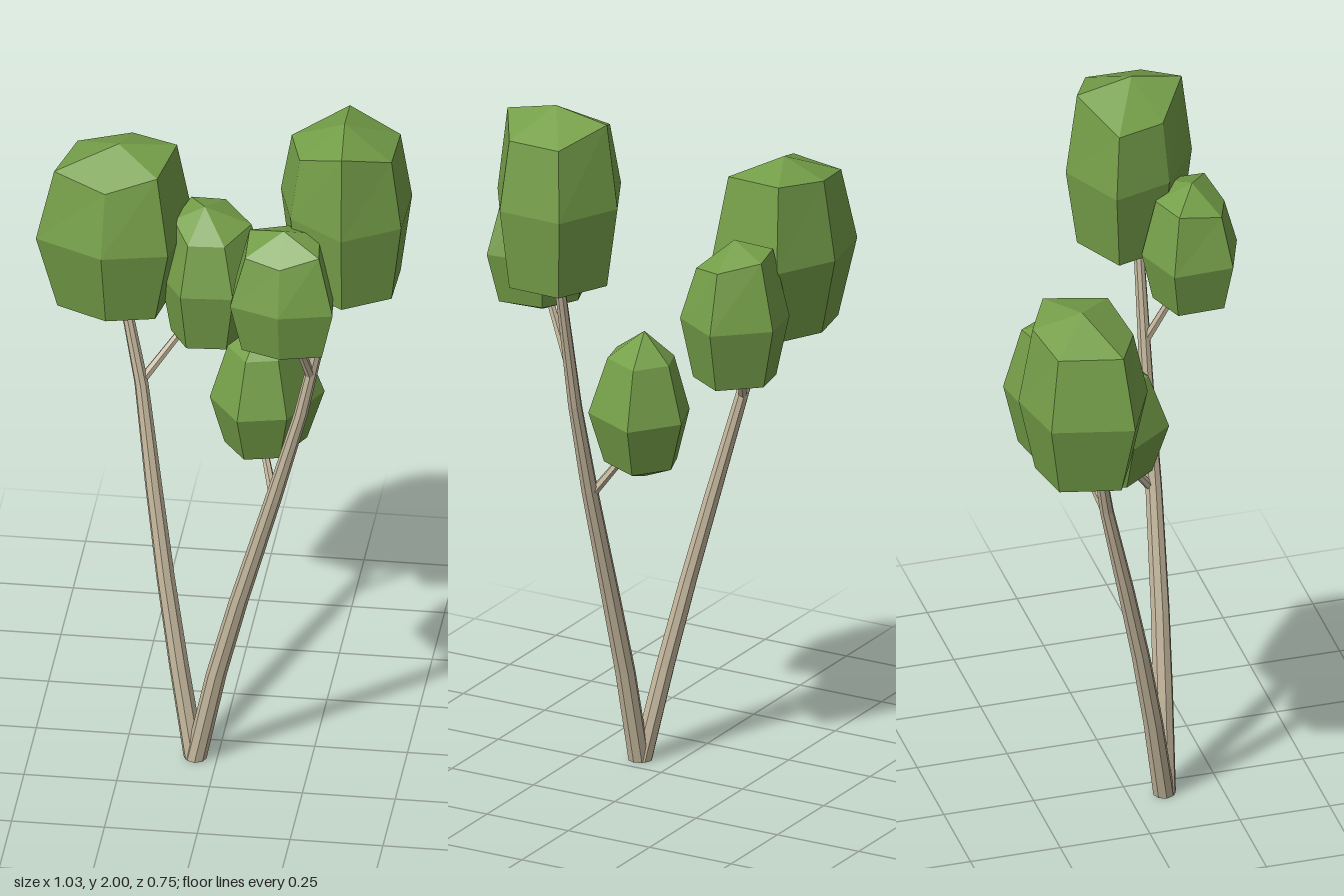
import * as THREE from 'three';

// Skin a stack of rings (bottom to top); the first and last ring may collapse to a point.
function loft(rings) {
  const pos = [];
  const tri = (a, b, c) => pos.push(...a, ...b, ...c);
  for (let r = 0; r < rings.length - 1; r++) {
    const lo = rings[r], hi = rings[r + 1], n = lo.length;
    for (let i = 0; i < n; i++) {
      const j = (i + 1) % n;
      if (r > 0) tri(lo[j], lo[i], hi[i]);
      if (r < rings.length - 2) tri(lo[j], hi[i], hi[j]);
      if (r === 0) tri(lo[0], hi[i], hi[j]);
    }
  }
  // The first span is a fan from the bottom point, so drop its repeated triangles.
  const out = [];
  for (let k = 0; k < pos.length; k += 9) {
    const [a, b, c] = [0, 3, 6].map((o) => new THREE.Vector3().fromArray(pos, k + o));
    const area = b.clone().sub(a).cross(c.clone().sub(a)).length();
    const key = [a, b, c].map((v) => v.toArray().join()).join('|');
    if (area > 1e-9 && !out.some((t) => t.key === key)) out.push({ key, p: pos.slice(k, k + 9) });
  }
  const g = new THREE.BufferGeometry();
  g.setAttribute('position', new THREE.Float32BufferAttribute(out.flatMap((t) => t.p), 3));
  g.computeVertexNormals();
  return g;
}

// Six-sided leaf clump: outline at the waist, narrowed rings above and below, two poles.
function clump({ outline, centre: [cx, cz], bottom, low, mid, high, top, sLow, sHigh }) {
  const ring = (s, y) => outline.map(([x, z], i) =>
    [cx + (x - cx) * s, Array.isArray(y) ? y[i] : y, cz + (z - cz) * s]);
  return loft([ring(0, bottom), ring(sLow, low), ring(1, mid), ring(sHigh, high), ring(0, top)]);
}

// Tapering, bent stem through points [x, y, z, radius].
function stem(points, sides = 8) {
  const ring = ([x, y, z, r], s = 1) => Array.from({ length: sides }, (_, i) => {
    const a = (i / sides) * Math.PI * 2;
    return [x + Math.sin(a) * r * s, y, z - Math.cos(a) * r * s];
  });
  return loft([ring(points[0], 0), ...points.map((p) => ring(p)), ring(points[points.length - 1], 0)]);
}

export function createModel() {
  const tree = new THREE.Group();
  tree.name = 'tree';
  const bark = new THREE.MeshStandardMaterial({ color: 0xc2b59b, flatShading: true });
  bark.name = 'pale bark';
  const leaf = new THREE.MeshStandardMaterial({ color: 0x759f49, flatShading: true });
  leaf.name = 'leaf green';

  const add = (name, geometry, material) => {
    const mesh = new THREE.Mesh(geometry, material);
    mesh.name = name;
    tree.add(mesh);
    return mesh;
  };

  // Two trunks leaning apart from a shared foot
  add('leftTrunk', stem([
    [-0.057, 0, 0.1, 0.029], [0.0, 0.27, 0.11, 0.028], [0.06, 0.5, 0.12, 0.026],
    [0.155, 0.83, 0.13, 0.023], [0.23, 1.1, 0.133, 0.019], [0.32, 1.52, 0.135, 0.014],
  ]), bark);
  add('rightTrunk', stem([
    [-0.062, 0, 0.094, 0.029], [-0.11, 0.26, 0.05, 0.027], [-0.152, 0.5, 0.003, 0.025],
    [-0.19, 0.74, -0.05, 0.023], [-0.232, 1.02, -0.115, 0.019], [-0.285, 1.26, -0.16, 0.015],
  ]), bark);

  // Thin side branches
  const up = new THREE.Vector3(0, 1, 0);
  [
    ['rightBranch', [-0.235, 1.02, -0.118], [-0.115, 1.18, -0.175]],
    ['upperBranch', [0.258, 1.22, 0.135], [0.218, 1.42, 0.23]],
    ['lowerBranch', [0.155, 0.83, 0.12], [0.115, 0.95, 0.035]],
  ].forEach(([name, from, to]) => {
    const a = new THREE.Vector3(...from), b = new THREE.Vector3(...to);
    const dir = b.clone().sub(a);
    const mesh = add(name, new THREE.CylinderGeometry(0.01, 0.013, dir.length(), 6), bark);
    mesh.position.copy(a).add(b).multiplyScalar(0.5);
    mesh.quaternion.setFromUnitVectors(up, dir.normalize());
  });

  // Leaf clumps
  const clumps = {
    wideClump: {
      outline: [[-0.465, -0.338], [-0.28, -0.375], [-0.115, -0.29], [-0.155, -0.07], [-0.33, 0.03 - 0.06], [-0.517, -0.12]],
      centre: [-0.305, -0.205], bottom: 1.18, low: 1.225, mid: 1.44, top: 1.7,
      high: [1.64, 1.66, 1.67, 1.66, 1.62, 1.64], sLow: 0.74, sHigh: 0.78,
    },
    middleClump: {
      outline: [[-0.01, -0.338], [0.105, -0.21], [0.02, -0.07], [-0.12, -0.06], [-0.19, -0.18], [-0.14, -0.315]],
      centre: [-0.07, -0.185], bottom: 1.115, low: 1.15, mid: 1.32,
      high: [1.5, 1.48, 1.46, 1.46, 1.49, 1.51], top: 1.535, sLow: 0.76, sHigh: 0.7,
    },
    lowClump: {
      outline: [[0.145, -0.145], [0.27, -0.05], [0.19, 0.115], [0.06, 0.145], [-0.03, 0.02], [0.03, -0.105]],
      centre: [0.107, -0.01], bottom: 0.885, low: 0.93, mid: 1.07,
      high: 1.225, top: 1.3, sLow: 0.72, sHigh: 0.66,
    },
    frontClump: {
      outline: [[0.2, 0.11], [0.325, 0.18], [0.343, 0.34], [0.2, 0.375], [0.065, 0.325], [0.06, 0.16]],
      centre: [0.2, 0.25], bottom: 1.345, low: 1.39, mid: 1.53,
      high: [1.69, 1.7, 1.69, 1.66, 1.67, 1.69], top: 1.73, sLow: 0.78, sHigh: 0.72,
    },
    tallClump: {
      outline: [[0.34, -0.06], [0.515, 0.02], [0.51, 0.205], [0.36, 0.297], [0.21, 0.19], [0.163, 0.03]],
      centre: [0.347, 0.125], bottom: 1.45, low: 1.51, mid: 1.735,
      high: [1.97, 1.93, 1.93, 1.97, 1.91, 1.91], top: 2, sLow: 0.83, sHigh: 0.83,
    },
  };
  for (const [name, spec] of Object.entries(clumps)) add(name, clump(spec), leaf);

  return tree;
}
